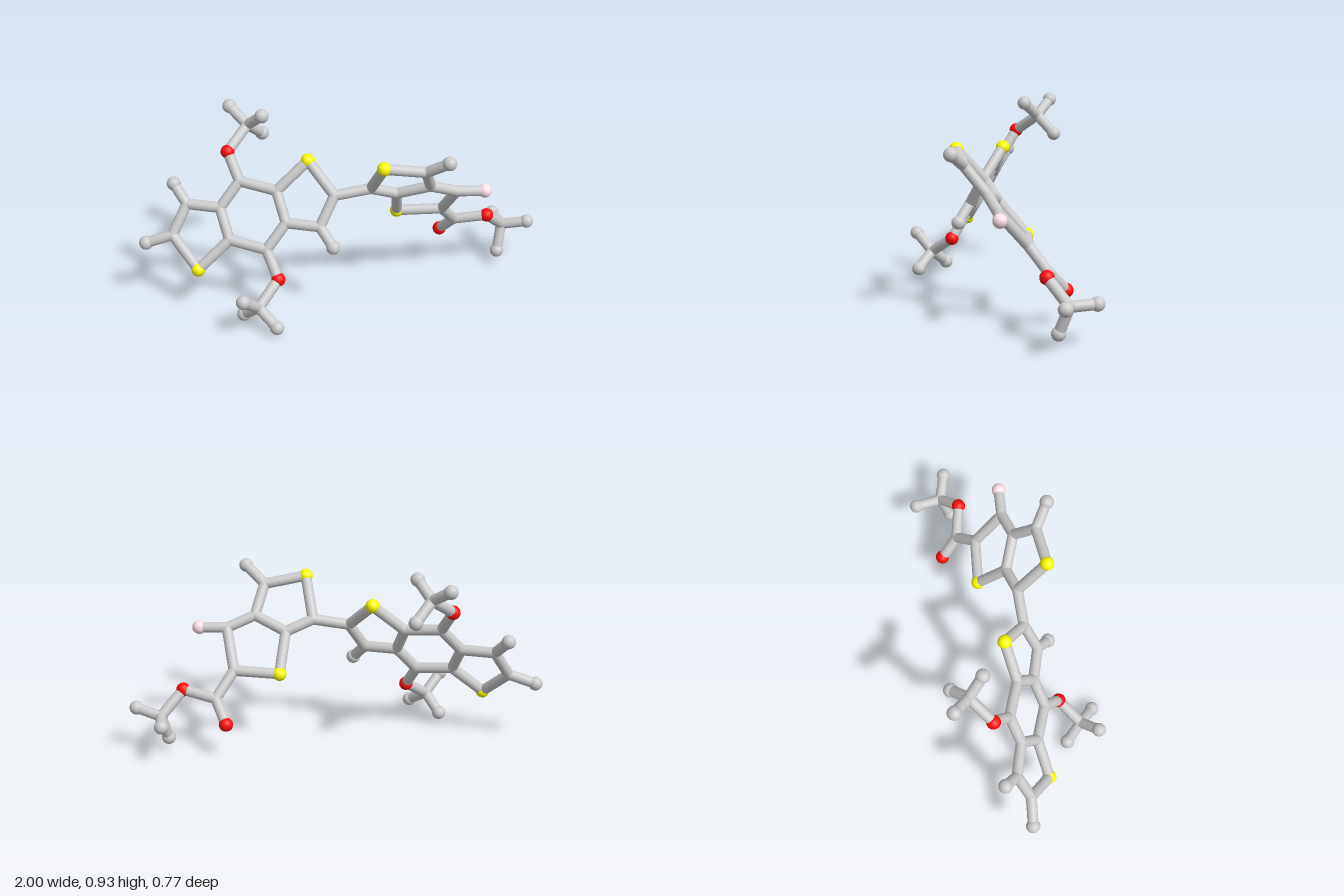
import * as THREE from 'three';

const BALL = 0.034, STICK = 0.026;
const grey = new THREE.MeshStandardMaterial({ color: 0xcccccc });
const yellow = new THREE.MeshStandardMaterial({ color: 0xffff00 });
const red = new THREE.MeshStandardMaterial({ color: 0xff0d0d });
const pink = new THREE.MeshStandardMaterial({ color: 0xffe1e8 });
const ballGeometry = new THREE.SphereGeometry(BALL, 24, 16);
const jointGeometry = new THREE.SphereGeometry(STICK, 20, 14);

// The two fused ring systems are flat: z follows from x and y
const CENTRE = new THREE.Vector3(-0.451, 0.467, -0.007);
const leftPlane = (x, y) => CENTRE.z + 0.343 * (x - CENTRE.x) - 0.585 * (y - CENTRE.y);
const rightPlane = (x, y) => -0.09 + 0.128 * (x - 0.275) + 0.8365 * (y - 0.382);

// Kinds: c = plain joint, e = grey end ball, s = yellow, o = red, f = pink
const KINDS = {
  c: ['joint', jointGeometry, grey],
  e: ['endBall', ballGeometry, grey],
  s: ['yellowBall', ballGeometry, yellow],
  o: ['redBall', ballGeometry, red],
  f: ['pinkBall', ballGeometry, pink],
};

// Half of the left ring system; the other half is its point reflection
const LEFT_HALF = {
  ringA: ['c', -0.602, 0.489],
  ringB: ['c', -0.50, 0.607],
  ringC: ['c', -0.571, 0.357],
  sulfur: ['s', -0.729, 0.222],
  tip: ['c', -0.837, 0.36],
  side: ['c', -0.757, 0.495],
  sideEnd: ['e', -0.81, 0.577],
  oxygen: ['o', -0.543, 0.727],
  branch: ['c', -0.434, 0.82, -0.28],
  branchEnd1: ['e', -0.51, 0.89, -0.36],
  branchEnd2: ['e', -0.372, 0.896, -0.2],
  branchEnd3: ['e', -0.355, 0.738, -0.35],
};
const LEFT_BONDS = [
  ['ringA', 'ringB'], ['ringA', 'ringC'], ['ringC', 'sulfur'], ['sulfur', 'tip'],
  ['tip', 'side'], ['side', 'ringA'], ['side', 'sideEnd'], ['ringB', 'oxygen'],
  ['oxygen', 'branch'], ['branch', 'branchEnd1'], ['branch', 'branchEnd2'], ['branch', 'branchEnd3'],
];

const RIGHT = {
  link: ['c', 0.11, 0.60],
  upperSulfur: ['s', 0.142, 0.773],
  upper: ['c', 0.345, 0.735],
  upperEnd: ['e', 0.436, 0.808],
  fusedA: ['c', 0.393, 0.608],
  fusedB: ['c', 0.243, 0.548],
  lowerSulfur: ['s', 0.275, 0.382],
  lower: ['c', 0.495, 0.388],
  outer: ['c', 0.53, 0.555],
  fluorine: ['f', 0.666, 0.553],
  carboxyl: ['c', 0.582, 0.277],
  oxygenA: ['o', 0.532, 0.18],
  oxygenB: ['o', 0.74, 0.307],
  branch: ['c', 0.845, 0.202, -0.172],
  branchEnd1: ['e', 0.965, 0.23, -0.128],
  branchEnd2: ['e', 0.816, 0.072, -0.131],
  branchEnd3: ['e', 0.833, 0.205, -0.3],
};
const RIGHT_BONDS = [
  ['link', 'upperSulfur'], ['upperSulfur', 'upper'], ['upper', 'upperEnd'], ['upper', 'fusedA'],
  ['fusedA', 'fusedB'], ['fusedB', 'link'], ['fusedB', 'lowerSulfur'], ['lowerSulfur', 'lower'],
  ['lower', 'outer'], ['outer', 'fusedA'], ['outer', 'fluorine'], ['lower', 'carboxyl'],
  ['carboxyl', 'oxygenA'], ['carboxyl', 'oxygenB'], ['oxygenB', 'branch'],
  ['branch', 'branchEnd1'], ['branch', 'branchEnd2'], ['branch', 'branchEnd3'],
];

function addStick(group, a, b, name = 'stick') {
  const dir = b.clone().sub(a);
  const stick = new THREE.Mesh(new THREE.CylinderGeometry(STICK, STICK, dir.length(), 20, 1, true), grey);
  stick.position.copy(a).lerp(b, 0.5);
  stick.quaternion.setFromUnitVectors(new THREE.Vector3(0, 1, 0), dir.normalize());
  stick.name = name;
  group.add(stick);
}

// Builds balls, joints and sticks; returns the positions by key
function addFragment(parent, name, atoms, bonds, plane, reflect = false) {
  const group = new THREE.Group();
  group.name = name;
  parent.add(group);
  const points = {};
  for (const [key, [kind, x, y, z = plane(x, y)]] of Object.entries(atoms)) {
    const p = new THREE.Vector3(x, y, z);
    if (reflect) p.subVectors(CENTRE.clone().multiplyScalar(2), p);
    const [label, geometry, material] = KINDS[kind];
    const ball = new THREE.Mesh(geometry, material);
    ball.position.copy(p);
    ball.name = label;
    group.add(ball);
    points[key] = p;
  }
  for (const [a, b] of bonds) addStick(group, points[a], points[b]);
  return points;
}

export function createModel() {
  const model = new THREE.Group();
  model.name = 'moleculeModel';
  const outer = addFragment(model, 'leftRingsOuterHalf', LEFT_HALF, LEFT_BONDS, leftPlane);
  const inner = addFragment(model, 'leftRingsInnerHalf', LEFT_HALF, LEFT_BONDS, leftPlane, true);
  const right = addFragment(model, 'rightRings', RIGHT, RIGHT_BONDS, rightPlane);

  // Sticks closing the middle ring and joining the two ring systems
  addStick(model, outer.ringB, inner.ringC, 'ringStick');
  addStick(model, inner.ringB, outer.ringC, 'ringStick');
  addStick(model, inner.tip, right.link, 'linkStick');

  // End balls at the outer tip
  const end = new THREE.Mesh(ballGeometry, grey);
  end.name = 'endBall';
  end.position.set(-0.966, 0.318, leftPlane(-0.966, 0.318));
  model.add(end);
  addStick(model, outer.tip, end.position, 'tipStick');
  return model;
}
